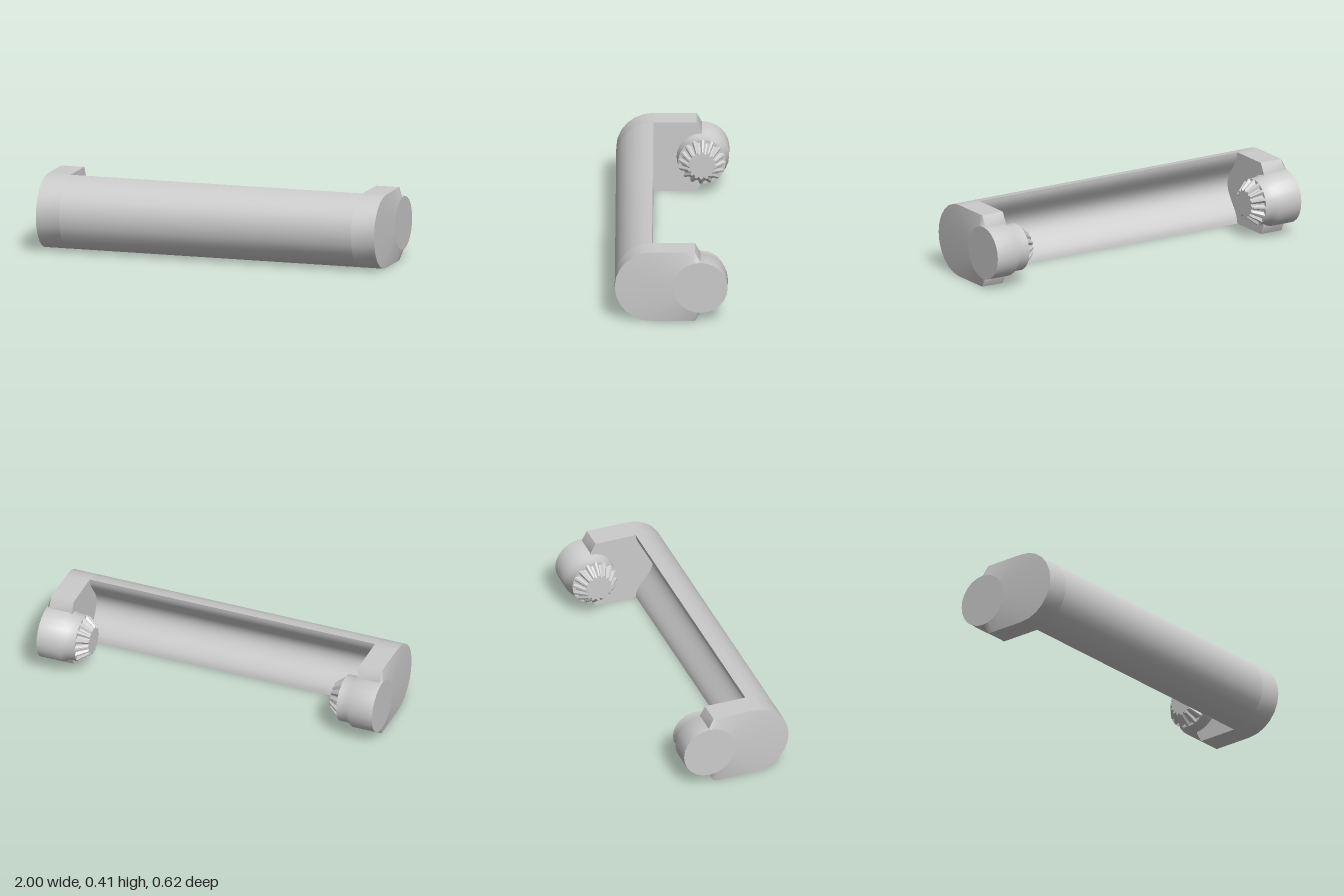
import * as THREE from 'three';
import { toCreasedNormals } from 'three/addons/utils/BufferGeometryUtils.js';

const MID = 0.206;      // height of the long axis, also the shell radius
const SHELL_Z = 0.107;  // centre of the shell arc
const HUB_Z = -0.162;   // centre of the hubs
const HUB_R = 0.15;
const material = new THREE.MeshStandardMaterial({ color: 0xcccccc });

function mesh(name, geometry) {
  const m = new THREE.Mesh(geometry, material);
  m.name = name;
  return m;
}

// Half-round front arc from top to bottom, as (z, y) with y measured from the axis
function frontArc() {
  const pts = [];
  for (let i = 0; i <= 12; i++) {
    const a = (i / 12) * Math.PI;
    pts.push(new THREE.Vector2(SHELL_Z + MID * Math.sin(a), MID * Math.cos(a)));
  }
  return pts;
}

// Wavy hollow of the bar's back from bottom to top, without its end points
function backCove() {
  const pts = [];
  for (let i = 1; i < 20; i++) {
    const t = i / 10 - 1;
    pts.push(new THREE.Vector2(SHELL_Z + 0.05 * (1 + Math.cos(Math.PI * t)), t * MID));
  }
  return pts;
}

// Plate outline: notch, straight side, arc, and the same mirrored below
function plateOutline() {
  const side = [new THREE.Vector2(-0.161, HUB_R)];
  for (let i = 0; i < 8; i++) side.push(new THREE.Vector2(-0.131 + (i / 8) * (SHELL_Z + 0.131), MID));
  const below = side.map(p => new THREE.Vector2(p.x, -p.y)).reverse();
  return [...side, ...frontArc(), ...below];
}

// Extrude a (z, y) outline along x
function extrudeX(points, x0, x1) {
  const shape = new THREE.Shape(points.map(p => new THREE.Vector2(-p.x, p.y)));
  const g = new THREE.ExtrudeGeometry(shape, { depth: x1 - x0, bevelEnabled: false });
  g.rotateY(Math.PI / 2).translate(x0, 0, 0);
  return toCreasedNormals(g, 0.6);
}

// Solid of revolution around x from (radius, x) pairs
function latheX(pairs) {
  const g = new THREE.LatheGeometry(pairs.map(p => new THREE.Vector2(...p)), 24);
  g.rotateZ(-Math.PI / 2).translate(0, 0, HUB_Z);
  return toCreasedNormals(g, 0.9);
}

// Shallow sloping face between the plate outline and the hub disc
function outerFace(outline) {
  const pos = [], idx = [];
  outline.forEach((p, i) => {
    const d = new THREE.Vector2(p.x - HUB_Z, p.y).setLength(HUB_R * 0.985);
    pos.push(0.985, p.y, p.x, 1, d.y, d.x + HUB_Z);
    if (i > 0) {
      const a0 = 2 * i - 2, b0 = a0 + 1, a1 = 2 * i, b1 = a1 + 1;
      idx.push(a0, a1, b1, a0, b1, b0);
    }
  });
  const g = new THREE.BufferGeometry();
  g.setAttribute('position', new THREE.Float32BufferAttribute(pos, 3));
  g.setIndex(idx);
  g.computeVertexNormals();
  return g;
}

// Cone with radial teeth pointing inwards
function toothedCone() {
  const n = 64;
  const g = new THREE.CylinderGeometry(0.132, 0.082, 0.06, n, 1);
  const p = g.attributes.position;
  for (let i = 0; i < p.count; i++) {
    const x = p.getX(i), z = p.getZ(i);
    const k = Math.round((Math.atan2(x, z) / (2 * Math.PI)) * n + n) % 4;
    const s = k < 2 ? 1 : 0.86;
    p.setXYZ(i, x * s, p.getY(i), z * s);
  }
  const flat = g.toNonIndexed();
  flat.rotateZ(-Math.PI / 2).translate(0.75, 0, HUB_Z);
  flat.computeVertexNormals();
  return flat;
}

function endCap(name) {
  const cap = new THREE.Group();
  cap.name = name;
  const outline = plateOutline();
  cap.add(
    mesh('endPlate', extrudeX(outline, 0.85, 0.985)),
    mesh('endFace', outerFace(outline)),
    mesh('hub', latheX([[0, 0.78], [0.132, 0.78], [0.132, 0.835], [HUB_R, 0.865], [HUB_R, 1], [0, 1]])),
    mesh('toothedCone', toothedCone()),
  );
  cap.position.y = MID;
  return cap;
}

export function createModel() {
  const model = new THREE.Group();
  model.name = 'handle';

  // Long front bar with a hollowed back
  const bar = mesh('frontBar', extrudeX([...frontArc(), ...backCove()], -0.85, 0.85));
  bar.position.y = MID;

  // The caps are symmetric top to bottom, so a half turn mirrors them
  const left = endCap('leftEnd');
  const right = endCap('rightEnd');
  right.rotation.z = Math.PI;

  model.add(bar, left, right);
  return model;
}
